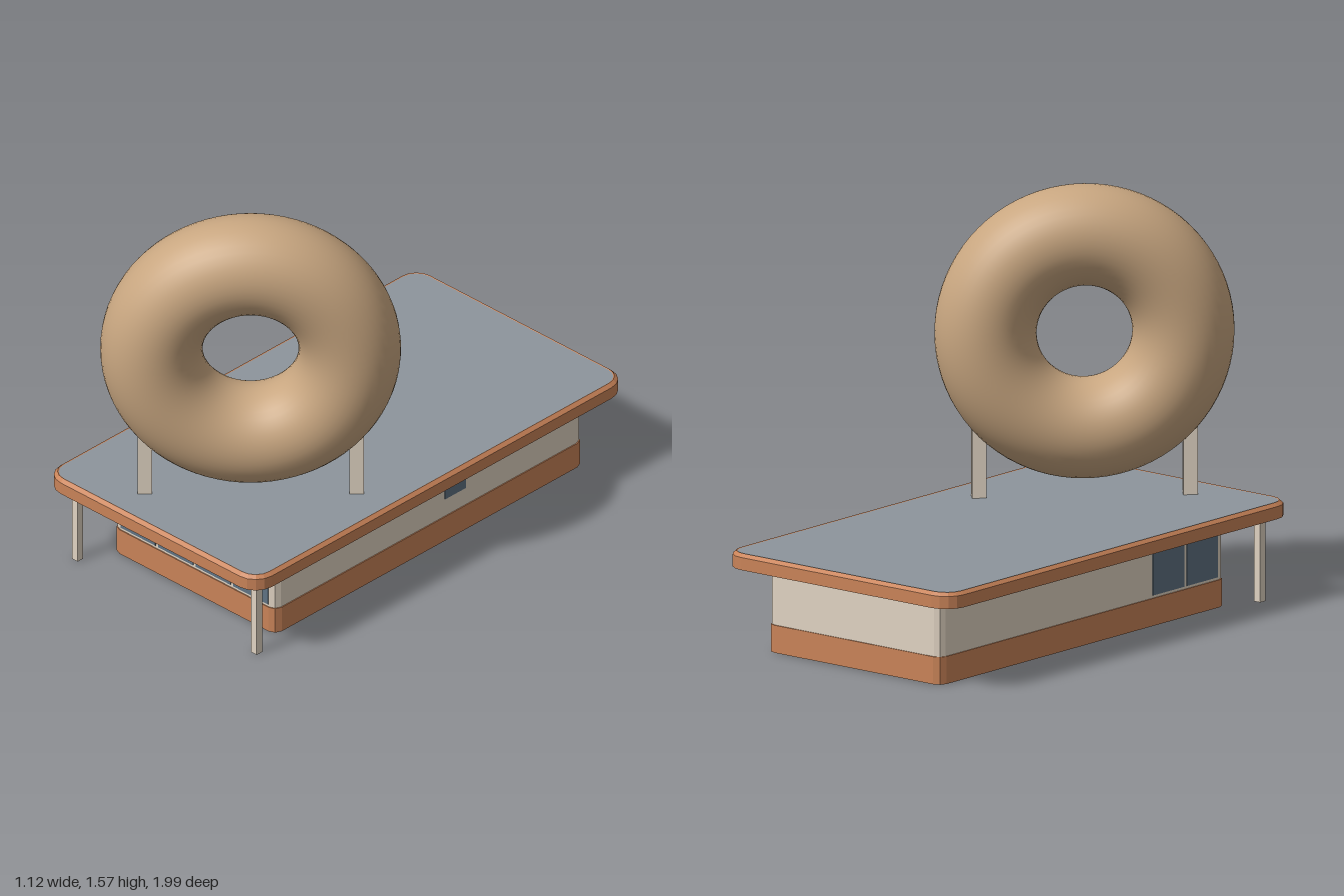
import * as THREE from 'three';

const mat = (color, extra = {}) => new THREE.MeshStandardMaterial({ color, ...extra });
const ORANGE = 0xc98358, CREAM = 0xe0d3c2, GREY = 0x8d959c, GLASS = 0x5f7282, DOUGH = 0xc8a680;

// Outline of a rounded rectangle; inset shrinks it evenly.
function outline(hw, hl, r, seg, inset = 0) {
  const pts = [];
  const corners = [[1, 1], [-1, 1], [-1, -1], [1, -1]];
  corners.forEach(([sx, sz], c) => {
    for (let i = 0; i <= seg; i++) {
      const a = (c + i / seg) * Math.PI / 2;
      pts.push(new THREE.Vector2(
        sx * (hw - r) + (r - inset) * Math.cos(a),
        sz * (hl - r) + (r - inset) * Math.sin(a)));
    }
  });
  return pts;
}

// Open band of side faces through a list of [outline, y] levels, bottom to top.
function band(levels) {
  const pos = [], idx = [], n = levels[0][0].length;
  for (const [pts, y] of levels) for (const p of pts) pos.push(p.x, y, p.y);
  for (let k = 0; k < levels.length - 1; k++) {
    for (let i = 0; i < n; i++) {
      const a = k * n + i, b = k * n + (i + 1) % n;
      idx.push(a, a + n, b, b, a + n, b + n);
    }
  }
  const g = new THREE.BufferGeometry();
  g.setAttribute('position', new THREE.Float32BufferAttribute(pos, 3));
  g.setIndex(idx);
  const flat = g.toNonIndexed();
  flat.computeVertexNormals();
  return flat;
}

// Flat horizontal panel filling an outline, facing up or down.
function panel(pts, y, up) {
  const shape = new THREE.Shape(pts.map(p => new THREE.Vector2(p.x, up ? -p.y : p.y)));
  return new THREE.ShapeGeometry(shape).rotateX(up ? -Math.PI / 2 : Math.PI / 2).translate(0, y, 0);
}

function add(parent, name, geometry, material, x = 0, y = 0, z = 0) {
  const m = new THREE.Mesh(geometry, material);
  m.name = name;
  m.position.set(x, y, z);
  parent.add(m);
  return m;
}

export function createModel() {
  const model = new THREE.Group();
  model.name = 'donutShop';

  const orange = mat(ORANGE, { flatShading: true, side: THREE.DoubleSide });
  const cream = mat(CREAM, { flatShading: true, side: THREE.DoubleSide });
  const grey = mat(GREY), glass = mat(GLASS), post = mat(CREAM);

  // The shop is turned very slightly on its plot
  const shop = new THREE.Group();
  shop.name = 'shop';
  shop.rotation.y = 0.015;
  model.add(shop);

  // Building: open-bottomed plinth with a raised floor, and walls above
  const building = new THREE.Group();
  building.name = 'building';
  building.position.set(0.01, 0, -0.055);
  shop.add(building);
  const HW = 0.42, HL = 0.822, R = 0.035;
  const base = outline(HW, HL, R, 2), wall = outline(HW, HL, R, 2, 0.004);
  add(building, 'plinth', band([[base, 0], [base, 0.105]]), orange);
  add(building, 'floor', panel(base, 0.105, false), orange);
  add(building, 'walls', band([[wall, 0.105], [wall, 0.326]]), cream);

  // Windows: four in front, two on the right side, a small one on the left
  const pane = new THREE.BoxGeometry(0.18, 0.175, 0.006);
  for (let i = 0; i < 4; i++) {
    add(building, 'frontWindow', pane, glass, (i - 1.5) * 0.194, 0.203, HL - 0.004);
  }
  for (let i = 0; i < 2; i++) {
    const w = add(building, 'sideWindow', pane, glass, -HW + 0.004, 0.203, 0.69 - i * 0.194);
    w.rotation.y = -Math.PI / 2;
  }
  add(building, 'smallWindow', new THREE.BoxGeometry(0.006, 0.09, 0.112), glass, HW - 0.004, 0.225, -0.14);

  // Roof slab: fascia with a small chamfer, grey deck and pale soffit
  const edge = outline(0.547, 0.99, 0.085, 4);
  const rim = outline(0.547, 0.99, 0.085, 4, 0.014);
  const deck = outline(0.547, 0.99, 0.085, 4, 0.018);
  const roof = new THREE.Group();
  roof.name = 'roof';
  shop.add(roof);
  add(roof, 'fascia', band([[edge, 0.326], [edge, 0.374], [rim, 0.387], [deck, 0.385]]), orange);
  add(roof, 'roofDeck', panel(deck, 0.385, true), grey);
  add(roof, 'soffit', panel(edge, 0.326, false), mat(CREAM));

  // Canopy posts at the front corners
  for (const s of [-1, 1]) {
    add(shop, 'canopyPost', new THREE.BoxGeometry(0.03, 0.328, 0.03), post, s * 0.4625, 0.164, 0.9);
  }

  // Giant donut standing diagonally on two struts
  const sign = new THREE.Group();
  sign.name = 'donutSign';
  sign.position.set(0.099, 0, 0.547);
  sign.rotation.y = Math.PI / 4;
  model.add(sign);
  add(sign, 'donut', new THREE.TorusGeometry(0.368, 0.19, 40, 80), mat(DOUGH), 0, 1.011, 0);
  for (const s of [-1, 1]) {
    add(sign, 'donutStrut', new THREE.BoxGeometry(0.054, 0.275, 0.054), post, s * 0.393, 0.515, 0);
  }
  return model;
}
